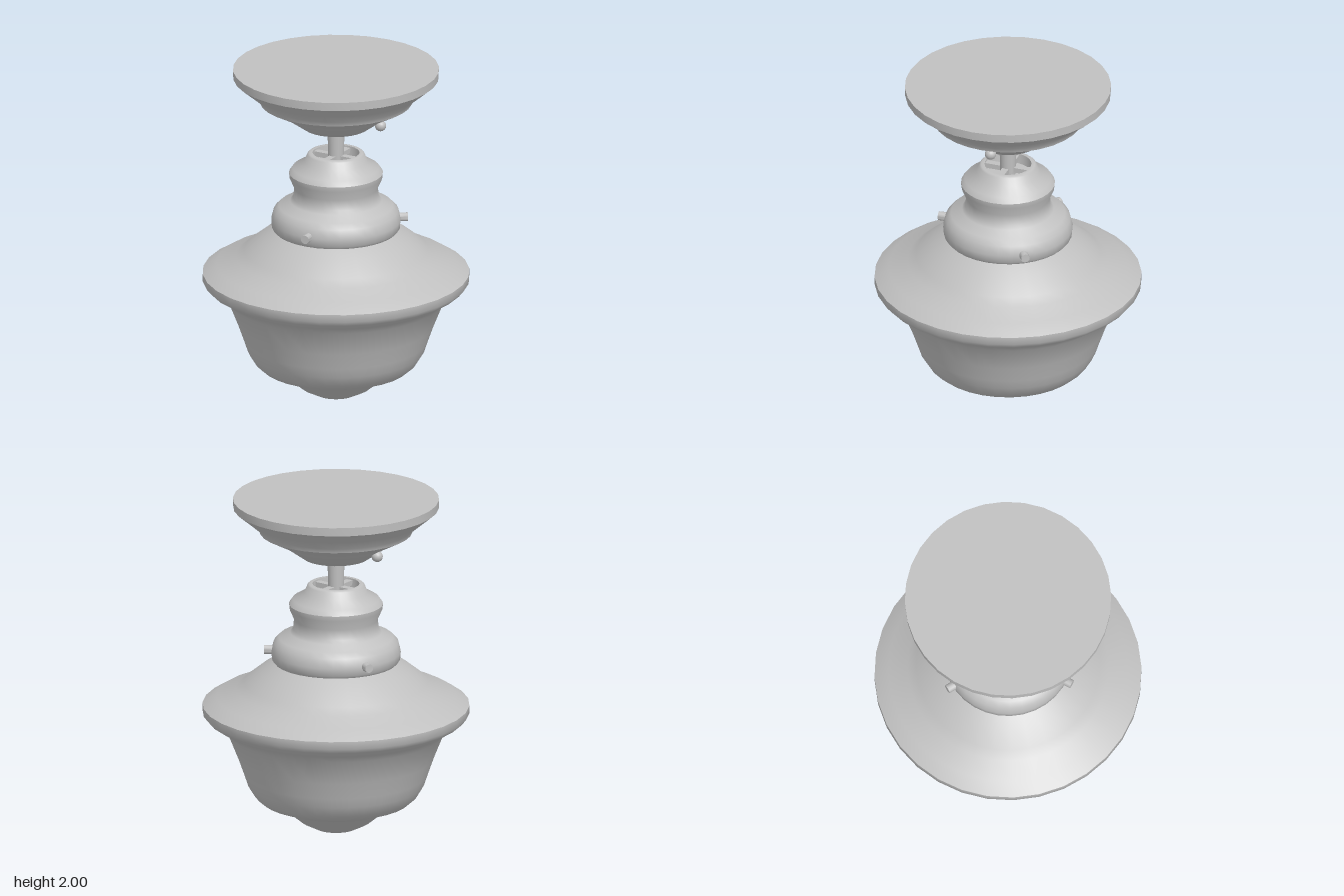
import * as THREE from 'three';
import { toCreasedNormals } from 'three/addons/utils/BufferGeometryUtils.js';

export function createModel() {
  const group = new THREE.Group();
  const grey = new THREE.MeshStandardMaterial({ color: 0xc0c0c0 });
  grey.name = 'light grey';

  const add = (name, geometry, x = 0, y = 0, z = 0) => {
    const mesh = new THREE.Mesh(geometry, grey);
    mesh.name = name;
    mesh.position.set(x, y, z);
    group.add(mesh);
    return mesh;
  };
  // Turned parts: [radius, height] pairs, listed from the bottom up
  const turned = (profile, crease = 0.7) => toCreasedNormals(
    new THREE.LatheGeometry(profile.map(([r, y]) => new THREE.Vector2(r, y)), 32), crease);

  // Schoolhouse glass shade
  add('glassShade', turned([
    [0, 0], [0.06, 0.005], [0.12, 0.024], [0.2, 0.065], [0.29, 0.138], [0.34, 0.16],
    [0.43, 0.19], [0.47, 0.225], [0.51, 0.29], [0.53, 0.35], [0.565, 0.45], [0.625, 0.6],
    [0.665, 0.64], [0.745, 0.69], [0.77, 0.72], [0.77, 0.765], [0.69, 0.815],
    [0.58, 0.86], [0.53, 0.9], [0.43, 0.98], [0.345, 1.03],
  ], 0.9));

  // Fitter holding the shade, with a recessed opening at the top
  add('fitter', turned([
    [0.3, 1.022], [0.355, 1.022], [0.37, 1.04], [0.374, 1.085], [0.36, 1.14], [0.33, 1.17],
    [0.265, 1.2], [0.247, 1.22], [0.242, 1.28], [0.268, 1.34], [0.271, 1.37],
    [0.25, 1.4], [0.182, 1.44], [0.165, 1.482], [0.155, 1.49], [0.135, 1.49],
    [0.13, 1.43], [0, 1.43],
  ]));

  // Crossbars joining the fitter to the stem
  for (let i = 0; i < 2; i++) {
    add('crossbar', new THREE.BoxGeometry(0.28, 0.03, 0.04), 0, 1.465, 0).rotation.y = i * Math.PI / 2;
  }

  // Stem
  add('stem', new THREE.CylinderGeometry(0.05, 0.045, 0.24, 16), 0, 1.54, 0);

  // Ceiling canopy
  add('canopy', turned([
    [0, 1.65], [0.19, 1.65], [0.31, 1.735], [0.44, 1.803], [0.45, 1.83],
    [0.52, 1.89], [0.593, 1.95], [0.595, 2], [0, 2],
  ]));

  // Ball nuts under the canopy
  for (const side of [-1, 1]) {
    add('ballNut', new THREE.SphereGeometry(0.033, 16, 12), side * 0.295, 1.705, 0);
  }

  // Three set screws around the fitter
  for (const degrees of [86, 206, 326]) {
    const a = THREE.MathUtils.degToRad(degrees);
    const screw = add('setScrew', toCreasedNormals(
      new THREE.CylinderGeometry(0.026, 0.026, 0.1, 10).rotateX(Math.PI / 2), 0.9),
    0.365 * Math.cos(a), 1.087, 0.365 * Math.sin(a));
    screw.rotation.y = Math.PI / 2 - a;
  }

  return group;
}
